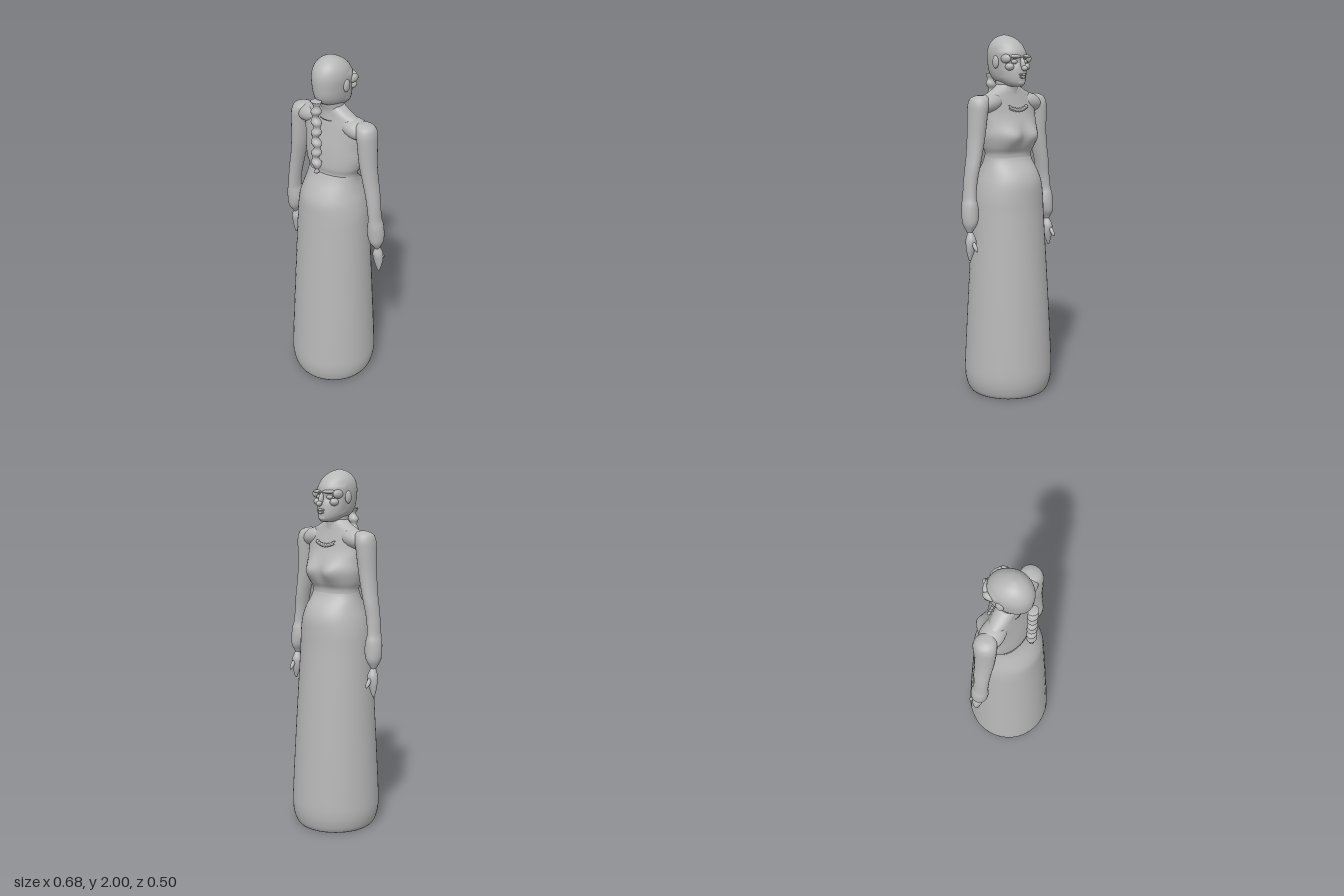
import * as THREE from 'three';

const grey = new THREE.MeshStandardMaterial({ color: 0xb8b8b8 });
grey.name = 'plain grey';

// Smooth closed skin through oval rings [y, xCentre, xRadius, zMin, zMax], listed upward
function loft(name, rings, sides = 40, steps = 4, shape = null) {
  const rows = [];
  const at = i => rings[Math.max(0, Math.min(rings.length - 1, i))];
  for (let i = 0; i < rings.length - 1; i++) {
    for (let s = 0; s < steps; s++) {
      const t = s / steps;
      rows.push(at(i).map((b, k) => {
        const a = at(i - 1)[k], c = at(i + 1)[k], d = at(i + 2)[k];
        return 0.5 * (2 * b + (c - a) * t + (2 * a - 5 * b + 4 * c - d) * t * t
          + (3 * b - a - 3 * c + d) * t * t * t);
      }));
    }
  }
  rows.push(at(rings.length - 1));
  const pos = [], index = [];
  const point = new THREE.Vector3();
  for (const [y, cx, rx, z0, z1] of rows) {
    for (let j = 0; j < sides; j++) {
      const a = (j / sides) * Math.PI * 2;
      point.set(cx + rx * Math.sin(a), y, (z0 + z1) / 2 + (z1 - z0) / 2 * Math.cos(a));
      if (shape) shape(point);
      pos.push(point.x, point.y, point.z);
    }
  }
  for (let i = 0; i < rows.length - 1; i++) {
    for (let j = 0; j < sides; j++) {
      const n = (j + 1) % sides, a = i * sides + j, b = i * sides + n;
      index.push(a, b, b + sides, a, b + sides, a + sides);
    }
  }
  // End caps
  const first = rows[0], last = rows[rows.length - 1], base = pos.length / 3;
  for (const r of [first, last]) pos.push(r[1], r[0], (r[3] + r[4]) / 2);
  const top = (rows.length - 1) * sides;
  for (let j = 0; j < sides; j++) {
    const n = (j + 1) % sides;
    index.push(base, n, j, base + 1, top + j, top + n);
  }
  const geo = new THREE.BufferGeometry();
  geo.setAttribute('position', new THREE.Float32BufferAttribute(pos, 3));
  geo.setIndex(index);
  geo.computeVertexNormals();
  const mesh = new THREE.Mesh(geo, grey);
  mesh.name = name;
  return mesh;
}

function ball(name, x, y, z, rx, ry, rz, tilt = 0) {
  const mesh = new THREE.Mesh(new THREE.SphereGeometry(1, 20, 14), grey);
  mesh.name = name;
  mesh.position.set(x, y, z);
  mesh.scale.set(rx, ry, rz);
  mesh.rotation.x = tilt;
  return mesh;
}

export function createModel() {
  const model = new THREE.Group();
  model.name = 'woman in long dress';

  // Long skirt narrowing to the waist
  model.add(loft('skirt', [
    [0, 0, 0.22, -0.222, 0.222], [0.03, 0, 0.236, -0.237, 0.237],
    [0.1, 0, 0.249, -0.25, 0.25], [0.22, 0, 0.246, -0.247, 0.247],
    [0.6, 0, 0.227, -0.224, 0.225], [1.0, 0, 0.207, -0.195, 0.198],
    [1.12, 0, 0.2, -0.19, 0.19], [1.2, 0, 0.186, -0.184, 0.183],
    [1.26, 0, 0.168, -0.16, 0.158], [1.32, 0, 0.152, -0.113, 0.12],
    [1.36, 0, 0.148, -0.095, 0.1],
  ], 48));

  // Torso with bust pushed forward and hollow between
  model.add(loft('torso', [
    [1.3, 0, 0.15, -0.11, 0.12], [1.36, 0, 0.15, -0.1, 0.1],
    [1.4, 0, 0.168, -0.115, 0.105], [1.46, 0, 0.184, -0.125, 0.1],
    [1.52, 0, 0.184, -0.11, 0.092], [1.58, 0, 0.19, -0.085, 0.08],
    [1.64, 0, 0.195, -0.066, 0.068], [1.68, 0, 0.165, -0.055, 0.06],
    [1.71, 0, 0.105, -0.05, 0.06], [1.735, 0, 0.063, -0.045, 0.06],
  ], 48, 4, p => {
    if (p.z < 0) {
      const lobe = Math.exp(-(((Math.abs(p.x) - 0.075) / 0.05) ** 2) - ((p.y - 1.46) / 0.055) ** 2);
      p.z -= 0.034 * lobe;
    }
  }));

  // Gathered neckline
  const hem = [];
  for (let i = 0; i <= 16; i++) {
    const x = -0.07 + 0.14 * i / 16;
    hem.push(new THREE.Vector3(x, 1.595 + x * x * 4 + (i % 2) * 0.006, -0.083 + x * x * 1.6));
  }
  const neckline = new THREE.Mesh(
    new THREE.TubeGeometry(new THREE.CatmullRomCurve3(hem), 48, 0.009, 8), grey);
  neckline.name = 'neckline';
  model.add(neckline);

  // Neck and head
  model.add(loft('neck', [
    [1.66, 0, 0.075, -0.055, 0.07], [1.71, 0, 0.06, -0.054, 0.068],
    [1.75, 0, 0.058, -0.06, 0.08], [1.8, 0, 0.06, -0.06, 0.09],
  ], 28));
  model.add(loft('head', [
    [1.725, 0, 0.028, -0.1, -0.01], [1.74, 0, 0.05, -0.112, 0.05],
    [1.765, 0, 0.068, -0.115, 0.1], [1.8, 0, 0.079, -0.113, 0.125],
    [1.85, 0, 0.087, -0.106, 0.133], [1.9, 0, 0.092, -0.106, 0.134],
    [1.94, 0, 0.085, -0.085, 0.122], [1.97, 0, 0.066, -0.052, 0.1],
    [1.99, 0, 0.04, -0.015, 0.07], [2.0, 0, 0.008, 0.022, 0.038],
  ], 40, 4, p => {
    // Flatter face with slight eye hollows
    if (p.z < -0.02 && p.y < 1.92) {
      p.x *= 1.06;
      const hollow = Math.exp(-(((Math.abs(p.x) - 0.038) / 0.02) ** 2) - ((p.y - 1.855) / 0.018) ** 2);
      p.z += 0.016 * hollow;
    }
  }));
  model.add(
    ball('noseBridge', 0, 1.845, -0.112, 0.012, 0.036, 0.016, 0.3),
    ball('noseTip', 0, 1.822, -0.126, 0.016, 0.015, 0.018),
    ball('upperLip', 0, 1.788, -0.112, 0.027, 0.007, 0.011),
    ball('lowerLip', 0, 1.774, -0.111, 0.022, 0.007, 0.011),
    ball('chin', 0, 1.746, -0.096, 0.028, 0.018, 0.02),
  );
  for (const side of [-1, 1]) {
    const brow = ball('brow', side * 0.042, 1.884, -0.094, 0.04, 0.01, 0.018);
    brow.rotation.y = side * -0.3;
    model.add(
      brow,
      ball('eye', side * 0.038, 1.856, -0.086, 0.019, 0.012, 0.014),
      ball('cheekbone', side * 0.062, 1.83, -0.074, 0.023, 0.02, 0.025),
      ball('temple', side * 0.078, 1.872, -0.062, 0.019, 0.024, 0.034),
      ball('ear', side * 0.09, 1.855, 0.005, 0.012, 0.034, 0.022),
    );
  }

  // Braid hanging down the back
  const braid = [];
  for (let i = 0; i <= 36; i++) {
    const t = i / 36;
    const r = (0.024 + 0.006 * Math.cos(t * Math.PI * 14)) * (t < 0.06 ? 0.5 : 1);
    const z = 0.142 - 0.018 * Math.cos((t - 0.2) * 3.5) * (t > 0.85 ? 0.4 : 0.2) - 0.012 * t * t;
    braid.push([1.38 + 0.41 * t, 0.005 * Math.sin(t * Math.PI * 7), r, z - r * 0.9, z + r * 0.9]);
  }
  model.add(loft('braid', braid, 16, 2));

  // Arms and hands, mirrored
  for (const s of [-1, 1]) {
    const arm = new THREE.Group();
    arm.name = s > 0 ? 'leftArm' : 'rightArm';
    arm.add(loft('sleeve', [
      [0.945, s * 0.302, 0.01, -0.025, -0.002], [0.965, s * 0.302, 0.02, -0.036, 0.012],
      [1.0, s * 0.298, 0.038, -0.054, 0.034], [1.05, s * 0.293, 0.046, -0.056, 0.042],
      [1.1, s * 0.293, 0.041, -0.052, 0.045], [1.14, s * 0.291, 0.033, -0.043, 0.044],
      [1.22, s * 0.282, 0.034, -0.04, 0.045], [1.3, s * 0.268, 0.037, -0.046, 0.047],
      [1.36, s * 0.255, 0.039, -0.048, 0.05], [1.46, s * 0.238, 0.044, -0.052, 0.058],
      [1.58, s * 0.228, 0.049, -0.061, 0.064], [1.63, s * 0.222, 0.052, -0.062, 0.064],
      [1.665, s * 0.212, 0.049, -0.048, 0.052], [1.681, s * 0.2, 0.025, -0.02, 0.024],
    ], 24));
    arm.add(loft('hand', [
      [0.797, s * 0.311, 0.005, -0.027, -0.017], [0.83, s * 0.308, 0.018, -0.036, -0.008],
      [0.87, s * 0.304, 0.029, -0.046, 0.0], [0.91, s * 0.302, 0.029, -0.05, 0.008],
      [0.94, s * 0.302, 0.019, -0.038, 0.002], [0.96, s * 0.302, 0.012, -0.025, -0.002],
    ], 18));
    arm.add(ball('thumb', s * 0.304, 0.88, -0.055, 0.011, 0.033, 0.012, 0.6));
    // Rounded shoulder bridging arm and neck
    const shoulder = ball('shoulder', s * 0.15, 1.635, 0, 0.1, 0.052, 0.065);
    shoulder.rotation.z = s * -0.2;
    arm.add(shoulder);
    model.add(arm);
  }
  return model;
}
